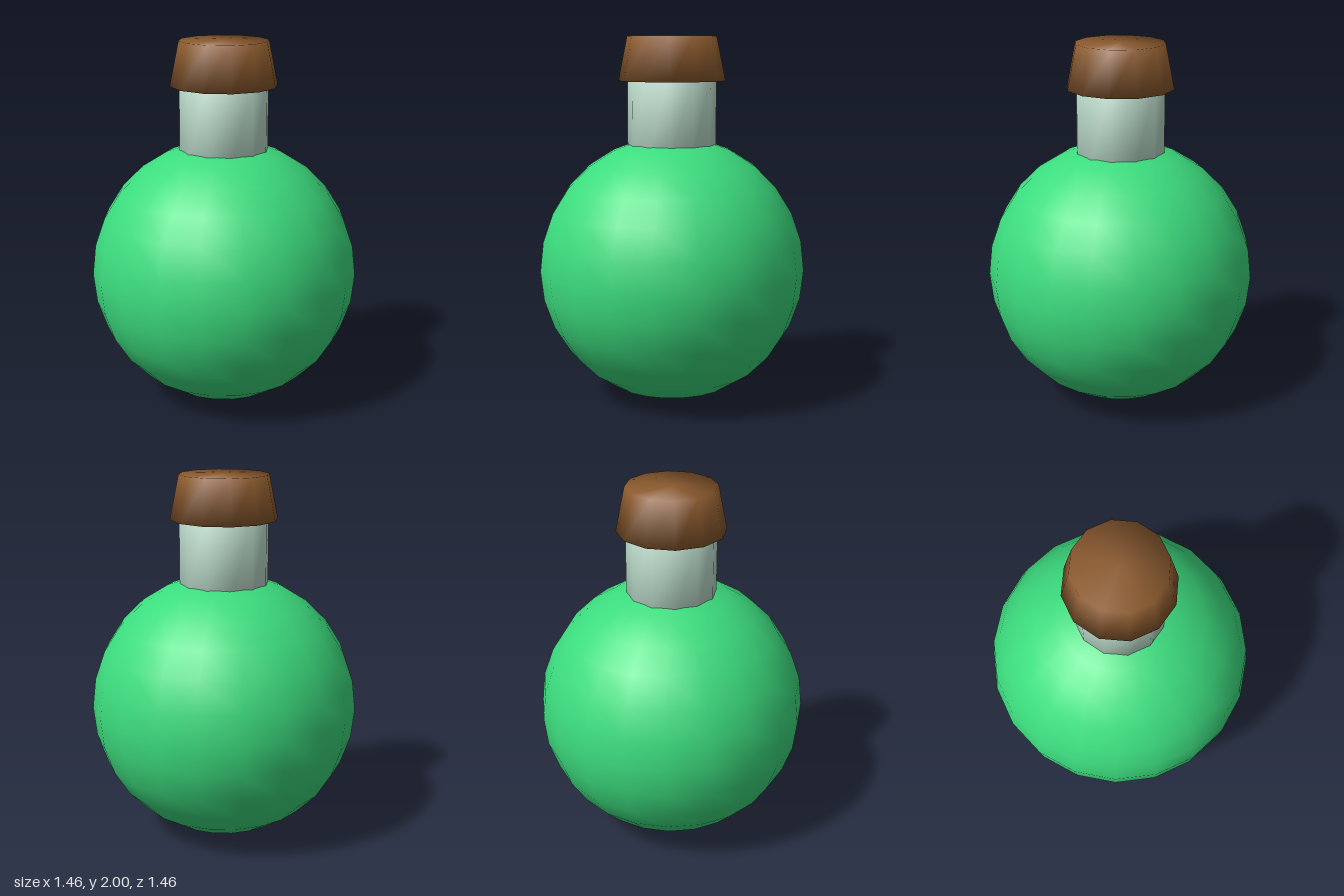
import * as THREE from 'three';
import { mergeVertices } from 'three/addons/utils/BufferGeometryUtils.js';

// Weld all corners so that shading runs smoothly over the rims
function weld(geometry) {
  geometry.deleteAttribute('normal');
  geometry.deleteAttribute('uv');
  const welded = mergeVertices(geometry, 1e-4);
  welded.computeVertexNormals();
  return welded;
}

// Twelve-sided round part between two heights
function roundPart(topRadius, bottomRadius, bottomY, topY) {
  const geometry = new THREE.CylinderGeometry(topRadius, bottomRadius, topY - bottomY, 12);
  return weld(geometry.translate(0, (topY + bottomY) / 2, 0));
}

export function createModel() {
  const model = new THREE.Group();
  model.name = 'roundFlask';

  const material = (name, color) => {
    const m = new THREE.MeshStandardMaterial({ color });
    m.name = name;
    return m;
  };
  const add = (name, geometry, mat) => {
    const mesh = new THREE.Mesh(geometry, mat);
    mesh.name = name;
    model.add(mesh);
  };

  // Round body
  add('body', new THREE.SphereGeometry(0.73, 20, 14).translate(0, 0.73, 0), material('green', 0x3cdc7e));
  // Neck, sunk into the body and the stopper
  add('neck', roundPart(0.242, 0.242, 1.36, 1.8), material('paleGlass', 0xbcdccb));
  // Tapered cork stopper
  add('stopper', roundPart(0.243, 0.292, 1.76, 2), material('corkBrown', 0x8b5a2e));

  return model;
}
